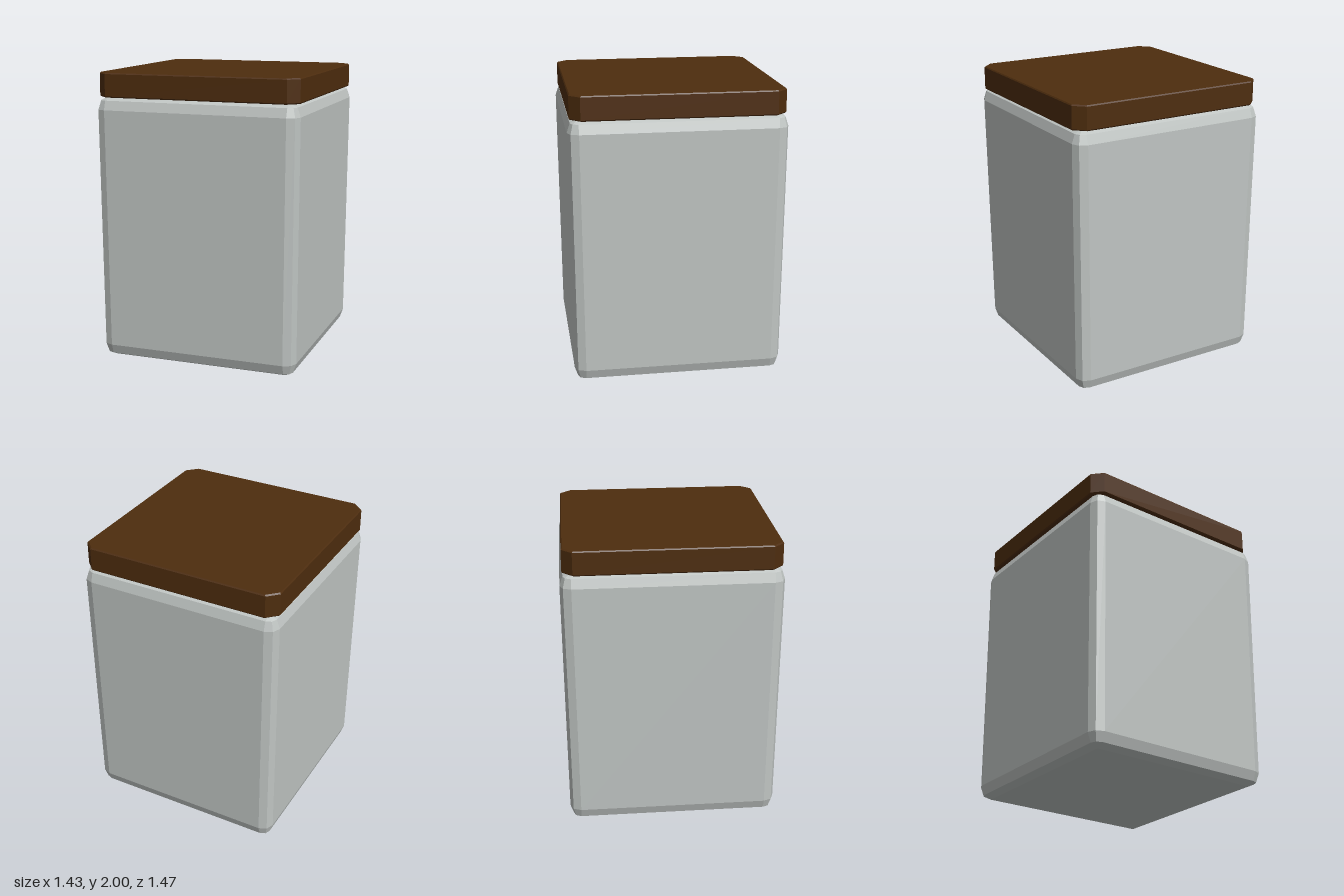
import * as THREE from 'three';

const glass = new THREE.MeshStandardMaterial({ color: 0xc0c5c3, flatShading: true });
glass.name = 'pale grey';
const wood = new THREE.MeshStandardMaterial({ color: 0x4e2d0e, flatShading: true });
wood.name = 'dark brown';

// Stacks rings of equal length (listed bottom to top) into a closed solid.
function loft(rings) {
  const n = rings[0].length;
  const positions = rings.flat(2);
  const index = [];
  for (let r = 0; r < rings.length - 1; r++) {
    for (let i = 0; i < n; i++) {
      const a = r * n + i, b = r * n + (i + 1) % n;
      index.push(a, a + n, b, b, a + n, b + n);
    }
  }
  const top = (rings.length - 1) * n;
  for (let i = 1; i < n - 1; i++) {
    index.push(0, i, i + 1, top, top + i + 1, top + i);
  }
  const geometry = new THREE.BufferGeometry();
  geometry.setAttribute('position', new THREE.Float32BufferAttribute(positions, 3));
  geometry.setIndex(index);
  geometry.computeVertexNormals();
  return geometry;
}

// Rectangle ring at height y with each corner cut into a number of segments.
function ring(y, halfX, halfZ, radius, segments) {
  const points = [];
  for (let corner = 0; corner < 4; corner++) {
    const sx = corner === 0 || corner === 3 ? 1 : -1;
    const sz = corner < 2 ? 1 : -1;
    for (let s = 0; s <= segments; s++) {
      const angle = (corner + s / segments) * Math.PI / 2;
      points.push([
        sx * (halfX - radius) + radius * Math.cos(angle), y,
        sz * (halfZ - radius) + radius * Math.sin(angle),
      ]);
    }
  }
  return points;
}

export function createModel() {
  const model = new THREE.Group();
  model.name = 'lidded jar';

  // Jar body: slightly wider at the top, with two-step bevels on every edge
  const bevel = 0.075;
  const levels = [ // height, inset
    [0, bevel], [0.025, 0.022], [0.09, 0], [1.75, 0], [1.813, 0.022], [1.838, bevel],
  ];
  const body = new THREE.Mesh(loft(levels.map(([y, inset]) => {
    const flare = 0.012 * y / 1.84;
    return ring(y, 0.703 + flare - inset, 0.722 + flare - inset, Math.max(bevel - inset, 0.001), 2);
  })), glass);
  body.name = 'jarBody';
  model.add(body);

  // Lid: flat slab with chamfered corners
  const lid = new THREE.Mesh(loft([
    ring(1.834, 0.702, 0.71, 0.07, 1),
    ring(1.842, 0.708, 0.717, 0.07, 1),
    ring(1.992, 0.708, 0.717, 0.07, 1),
    ring(2, 0.702, 0.71, 0.07, 1),
  ]), wood);
  lid.name = 'lid';
  model.add(lid);

  return model;
}
